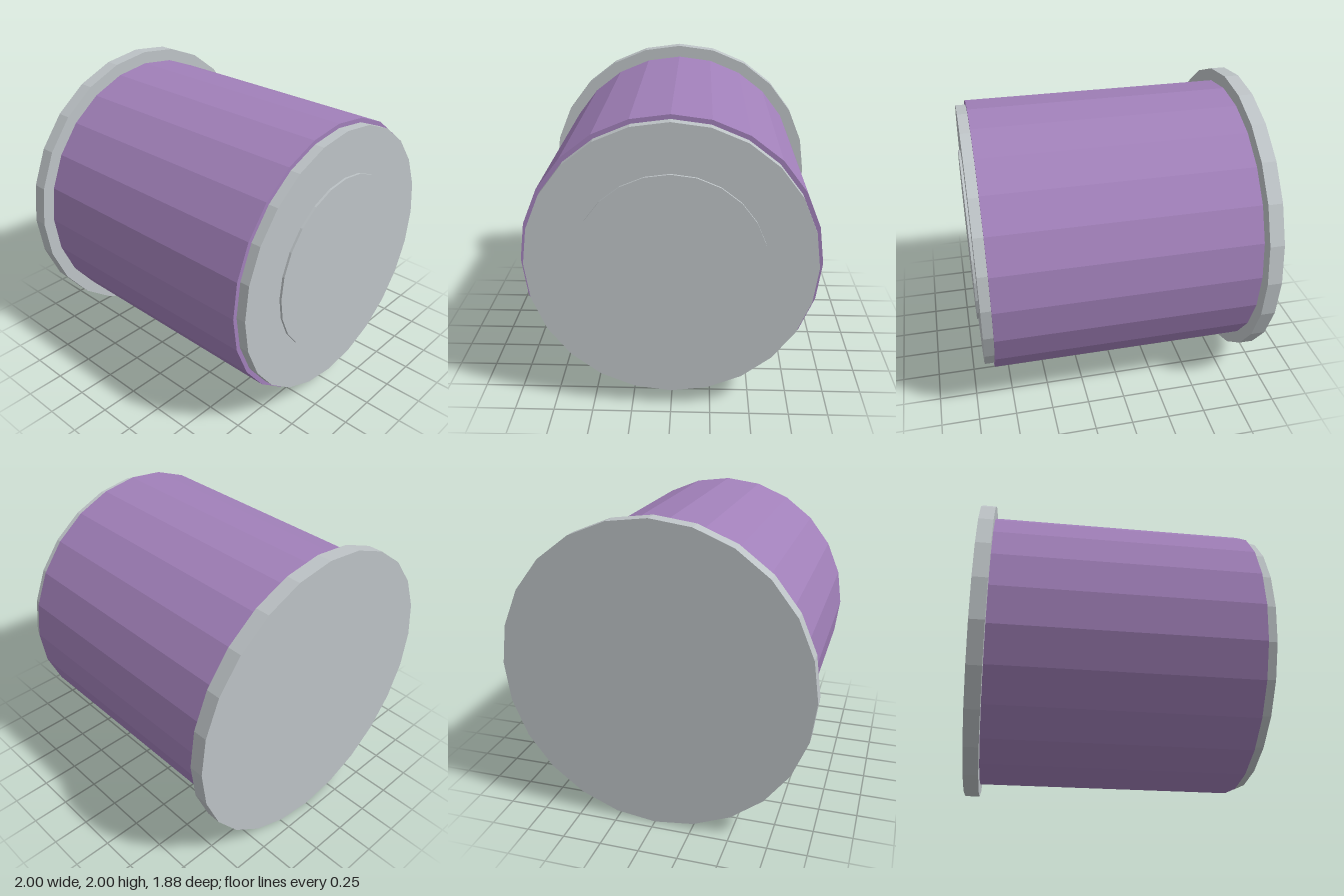
import * as THREE from 'three';

export function createModel() {
  const group = new THREE.Group();
  const purple = new THREE.MeshStandardMaterial({ color: 0xa180b9, flatShading: true });
  purple.name = 'purple';
  const silver = new THREE.MeshStandardMaterial({ color: 0xbdc3c6, flatShading: true });
  silver.name = 'silver';

  // 24-sided disc lying along z, from z0 (back) to z1 (front)
  const disc = (name, radius, z0, z1, material) => {
    const geometry = new THREE.CylinderGeometry(radius, radius, z1 - z0, 24);
    geometry.rotateX(Math.PI / 2);
    const mesh = new THREE.Mesh(geometry, material);
    mesh.name = name;
    mesh.position.set(0, 1, (z0 + z1) / 2);
    group.add(mesh);
  };

  disc('backFlange', 1, -0.94, -0.845, silver);
  disc('body', 0.918, -0.845, 0.86, purple);
  disc('frontCap', 0.89, 0.86, 0.925, silver);
  disc('frontBoss', 0.586, 0.925, 0.94, silver);

  return group;
}
